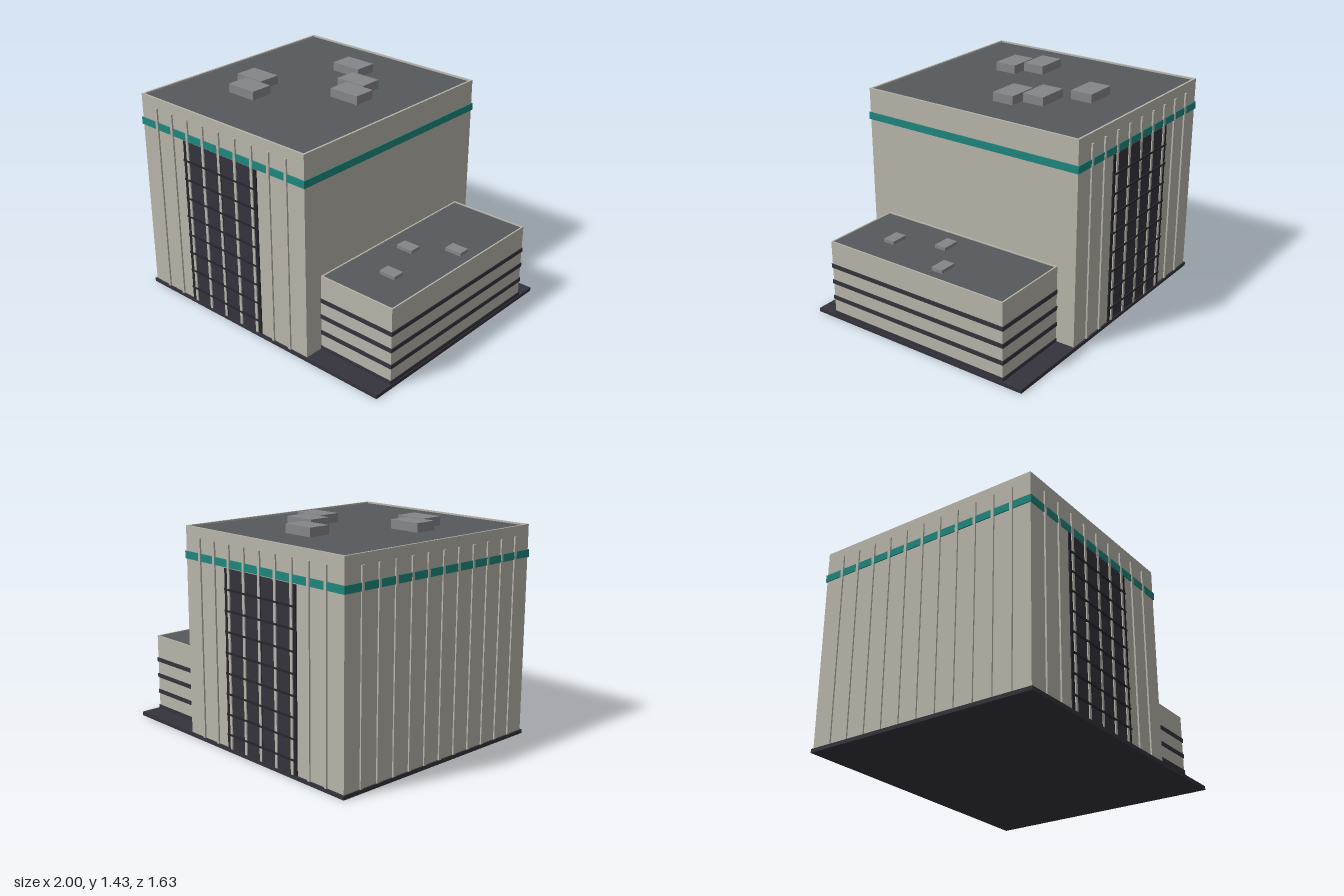
import * as THREE from 'three';

export function createModel() {
  const model = new THREE.Group();
  model.name = 'officeBuilding';

  const material = (name, color) => {
    const m = new THREE.MeshStandardMaterial({ color });
    m.name = name;
    return m;
  };
  const wall = material('concrete', 0xb7b5aa);
  const dark = material('darkGlass', 0x35333c);
  const frame = material('windowFrame', 0x26252b);
  const teal = material('tealBand', 0x1f877e);
  const roofGrey = material('roofing', 0x55595b);
  const unitGrey = material('roofUnitMetal', 0x85868a);

  // Box given by its low and high corner on each axis
  const box = (name, mat, x0, x1, y0, y1, z0, z1, parent = model) => {
    const mesh = new THREE.Mesh(new THREE.BoxGeometry(x1 - x0, y1 - y0, z1 - z0), mat);
    mesh.position.set((x0 + x1) / 2, (y0 + y1) / 2, (z0 + z1) / 2);
    mesh.name = name;
    parent.add(mesh);
    return mesh;
  };

  // Walls with a raised parapet rim around a sunken roof
  const block = (name, x0, x1, y0, y1, z, rim, drop) => {
    const g = new THREE.Group();
    g.name = name;
    model.add(g);
    const roofY = y1 - drop;
    box('walls', wall, x0, x1, y0, roofY - 0.005, -z, z, g);
    box('roof', roofGrey, x0 + rim, x1 - rim, roofY - 0.005, roofY, -z + rim, z - rim, g);
    for (const s of [-1, 1]) {
      const a = s * z, b = s * (z - rim);
      box('parapet', wall, x0, x1, roofY - 0.005, y1, Math.min(a, b), Math.max(a, b), g);
    }
    box('parapet', wall, x0, x0 + rim, roofY - 0.005, y1, -z + rim, z - rim, g);
    box('parapet', wall, x1 - rim, x1, roofY - 0.005, y1, -z + rim, z - rim, g);
    return g;
  };

  box('basePlinth', dark, -1, 1, 0, 0.025, -0.81, 0.81);

  // Tower and its teal band
  const X0 = -0.99, X1 = 0.435, Z = 0.8;
  block('tower', X0, X1, 0.02, 1.385, Z, 0.014, 0.01);
  box('tealBand', teal, X0 - 0.007, X1 + 0.007, 1.176, 1.224, -Z - 0.007, Z + 0.007);

  // Front and back: glazing, fins and window frames
  for (const s of [1, -1]) {
    const side = new THREE.Group();
    side.name = s > 0 ? 'frontFacade' : 'backFacade';
    model.add(side);
    const plate = (name, mat, x0, x1, y0, y1, out) => {
      const a = s * (Z - 0.005), b = s * (Z + out);
      box(name, mat, x0, x1, y0, y1, Math.min(a, b), Math.max(a, b), side);
    };
    plate('glazing', dark, -0.6, 0.045, 0.025, 1.17, 0.004);
    for (const x of [-0.59, -0.2775, 0.035]) {
      plate('verticalFrame', frame, x - 0.012, x + 0.012, 0.025, 1.17, 0.007);
    }
    for (let i = 0; i < 8; i++) {
      const y = 0.118 + i * 0.132;
      plate('horizontalFrame', frame, -0.6, 0.045, y - 0.006, y + 0.006, 0.014);
    }
    for (let i = 1; i < 10; i++) {
      const x = X0 + i * 0.1425;
      plate('fin', wall, x - 0.01, x + 0.01, 0.025, 1.32, 0.011);
    }
  }

  // Fins on the side away from the annex
  for (let i = 1; i < 12; i++) {
    const z = -Z + i * (2 * Z / 12);
    box('sideFin', wall, X0 - 0.01, X0 + 0.005, 0.025, 1.32, z - 0.01, z + 0.01);
  }

  // Low annex with dark window strips
  block('annex', X1, 0.99, 0.02, 0.545, 0.67, 0.01, 0.006);
  for (let i = 0; i < 4; i++) {
    const y = 0.035 + i * 0.1133;
    box('windowStrip', dark, X1, 0.995, y - 0.014, y + 0.014, -0.675, 0.675);
  }

  // Rooftop units, placed by centre
  const units = [[-0.278, -0.427], [-0.053, -0.217], [0.038, -0.053], [-0.594, 0.158], [-0.498, 0.321]];
  for (const [x, z] of units) {
    box('towerRoofUnit', unitGrey, x - 0.11, x + 0.11, 1.37, 1.433, z - 0.076, z + 0.076);
  }
  for (const [x, z] of [[0.853, -0.126], [0.607, 0.05], [0.73, 0.366]]) {
    box('annexRoofUnit', unitGrey, x - 0.059, x + 0.059, 0.535, 0.561, z - 0.04, z + 0.04);
  }

  return model;
}
